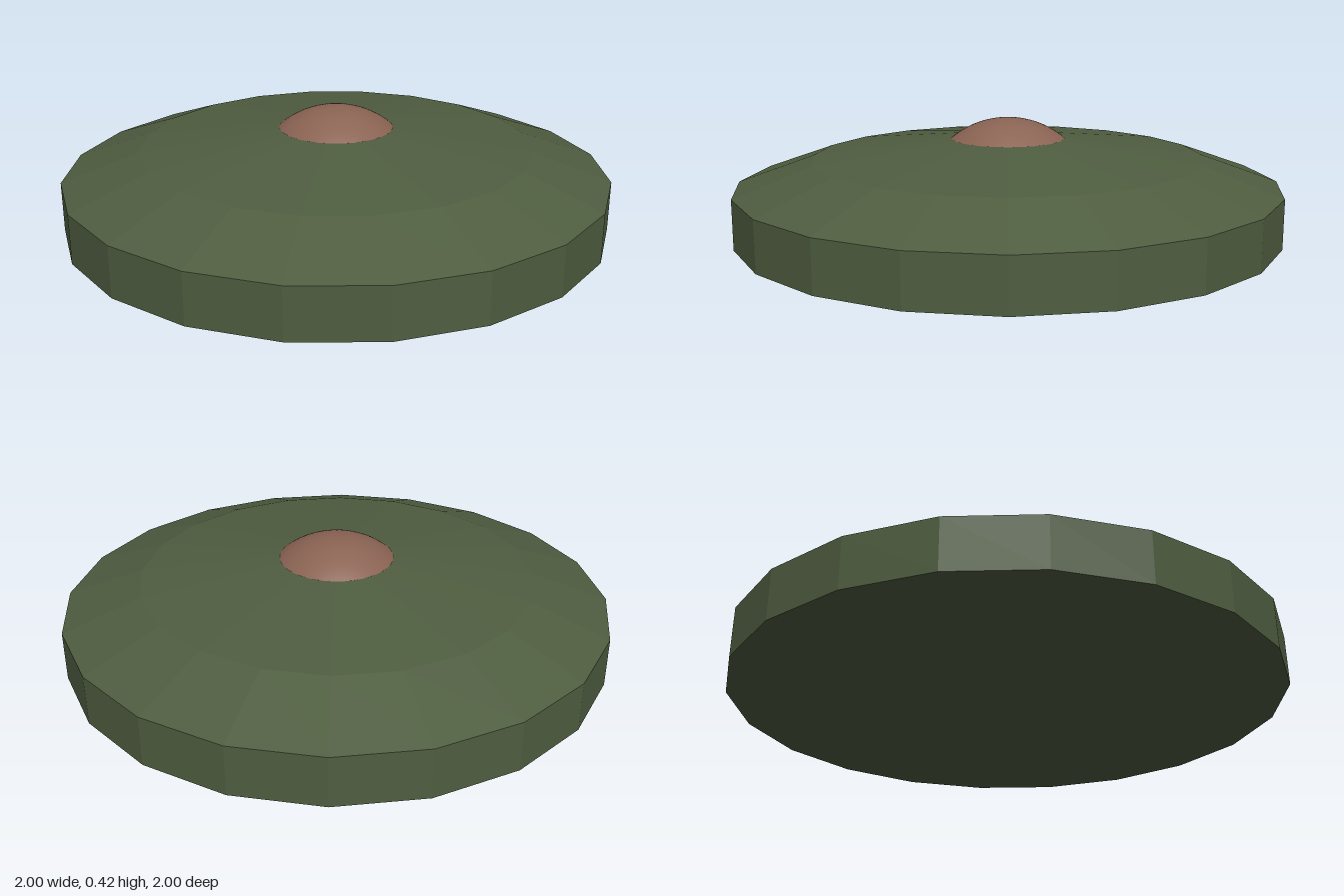
import * as THREE from 'three';

const SIDES = 20;

export function createModel() {
  const model = new THREE.Group();
  model.name = 'pressureDisc';

  // Faceted body: flat base, upright rim, steep bevel, shallow cone, small flat top
  const profile = [[0, 0], [1, 0], [1, 0.18], [0.72, 0.28], [0.21, 0.345], [0, 0.345]]
    .map(([r, y]) => new THREE.Vector2(r, y));
  const body = new THREE.Mesh(
    new THREE.LatheGeometry(profile, SIDES),
    new THREE.MeshStandardMaterial({ color: 0x4f5d40, flatShading: true })
  );
  body.name = 'body';
  model.add(body);

  // Smooth button: a sphere cap rising from the flat top
  const capRadius = 0.212, capHeight = 0.077, baseY = 0.342;
  const radius = (capRadius ** 2 + capHeight ** 2) / (2 * capHeight);
  const button = new THREE.Mesh(
    new THREE.SphereGeometry(radius, 40, 12, 0, Math.PI * 2, 0, Math.asin(capRadius / radius)),
    new THREE.MeshStandardMaterial({ color: 0x8a6353 })
  );
  button.name = 'button';
  button.position.y = baseY + capHeight - radius;
  model.add(button);

  return model;
}
